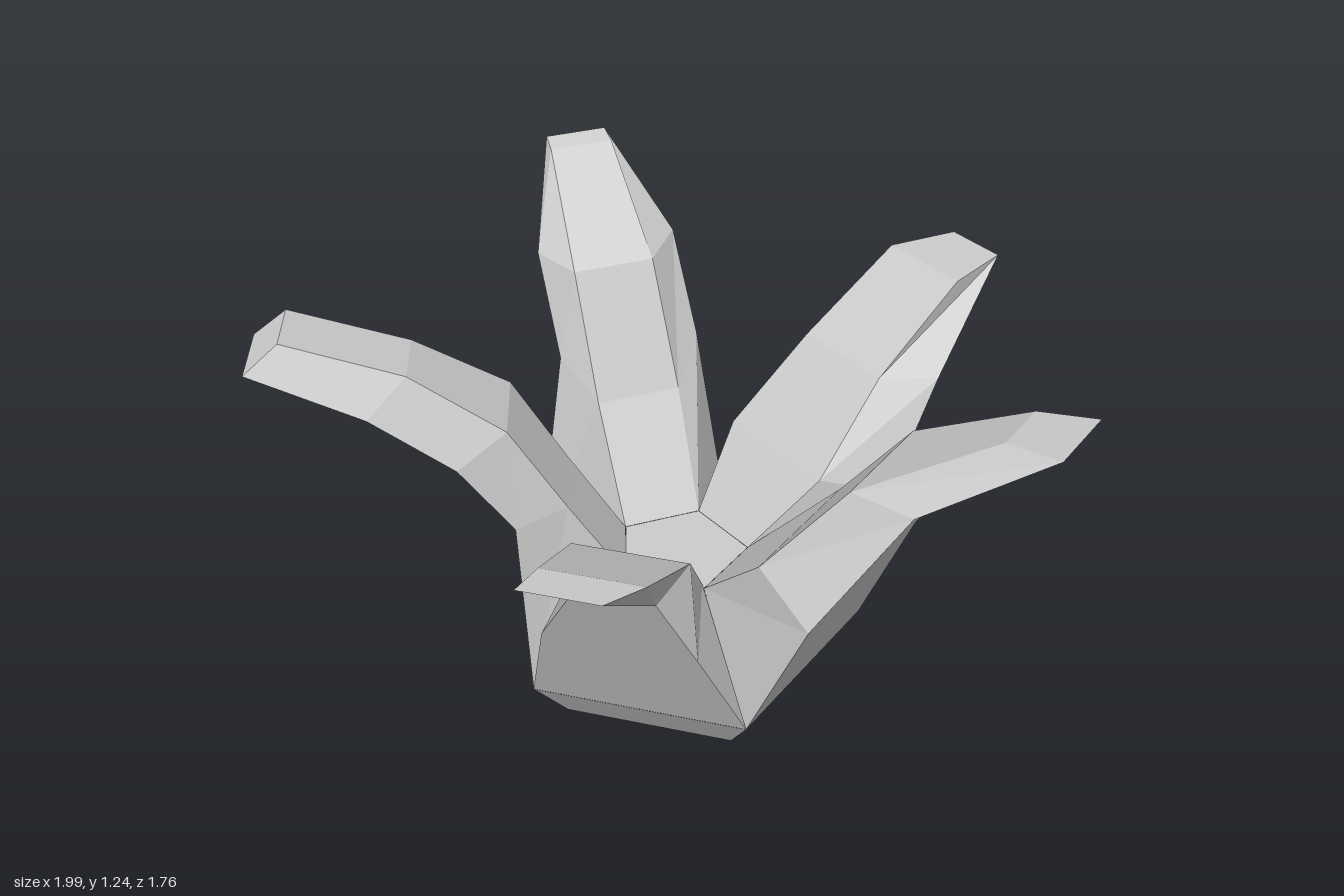
import * as THREE from 'three';

const grey = new THREE.MeshStandardMaterial({ color: 0xcccccc });
grey.name = 'plain grey';

const CENTRE_X = -0.05, CENTRE_Z = -0.06;
const STEP = (Math.PI * 2) / 5;

// Point at distance r along heading a, shifted sideways by v, at height y
function place(a, r, v, y) {
  return [
    CENTRE_X + Math.sin(a) * r + Math.cos(a) * v, y,
    CENTRE_Z + Math.cos(a) * r - Math.sin(a) * v,
  ];
}

// Pentagon ring with its edges facing the leaves
function pentagon(radius, y) {
  return [0, 1, 2, 3, 4].map((i) => place((i - 0.5) * STEP, radius, 0, y));
}

// Faceted mesh from convex polygons
function facetMesh(name, polygons) {
  const positions = [];
  for (const p of polygons)
    for (let i = 1; i < p.length - 1; i++) positions.push(...p[0], ...p[i], ...p[i + 1]);
  const geometry = new THREE.BufferGeometry();
  geometry.setAttribute('position', new THREE.Float32BufferAttribute(positions, 3));
  geometry.computeVertexNormals();
  const mesh = new THREE.Mesh(geometry, grey);
  mesh.name = name;
  return mesh;
}

// Walls joining successive rings of equal length
function walls(rings) {
  const faces = [];
  for (let s = 0; s < rings.length - 1; s++) {
    const a = rings[s], b = rings[s + 1], n = a.length;
    for (let k = 0; k < n; k++) {
      const m = (k + 1) % n;
      faces.push([a[k], a[m], b[m]], [a[k], b[m], b[k]]);
    }
  }
  return faces;
}

// Each section: outer edge (reach, height, shift, half width), then inner edge
const ROOT = [0.396, 0.13, 0, 0.288, 0.146, 0.36, 0, 0.106];
const LEAVES = [
  { name: 'frontLeaf', sections: [
    [0.54, 0.455, 0, 0.2, 0.36, 0.55, 0, 0.16],
    [0.65, 0.7, 0.03, 0.1, 0.525, 0.74, 0.03, 0.147],
    [0.94, 0.92, 0, 0.1, 0.84, 0.91, 0.045, 0.125]] },
  { name: 'leftLeaf', sections: [
    [0.55, 0.5, 0.01, 0.27, 0.35, 0.56, 0.03, 0.2],
    [0.73, 0.82, 0.05, 0.15, 0.55, 0.82, 0.07, 0.158],
    [1.03, 1.03, 0.125, 0.105, 0.87, 1.0, 0.14, 0.08]] },
  { name: 'backLeftLeaf', sections: [
    [0.48, 0.5, -0.02, 0.27, 0.31, 0.56, -0.02, 0.18],
    [0.665, 0.77, -0.05, 0.21, 0.53, 0.78, -0.03, 0.145],
    [0.99, 0.975, -0.05, 0.085, 0.815, 0.965, -0.03, 0.128]] },
  { name: 'backRightLeaf', sections: [
    [0.45, 0.74, -0.015, 0.197, 0.33, 0.65, 0, 0.115],
    [0.585, 0.995, 0, 0.193, 0.475, 0.98, 0.015, 0.11],
    [0.77, 1.24, 0.02, 0.082, 0.72, 1.225, 0.02, 0.085]] },
  { name: 'rightLeaf', sections: [
    [0.42, 0.61, 0.03, 0.2, 0.29, 0.61, 0.03, 0.11],
    [0.55, 0.815, 0.09, 0.175, 0.43, 0.86, 0.05, 0.115],
    [0.75, 0.98, 0.155, 0.13, 0.66, 1.04, 0.1, 0.085],
    [1.02, 1.125, 0.21, 0.095, 0.945, 1.165, 0.15, 0.08]] },
];

function buildLeaf({ name, sections }, index) {
  const a = index * STEP;
  const rings = [ROOT, ...sections].map(([or, oy, ov, ow, ir, iy, iv, iw]) => [
    place(a, or, ov - ow, oy), place(a, or, ov + ow, oy),
    place(a, ir, iv + iw, iy), place(a, ir, iv - iw, iy),
  ]);
  return facetMesh(name, [...walls(rings), rings[rings.length - 1]]);
}

export function createModel() {
  const group = new THREE.Group();
  group.name = 'plant';

  // Bevelled foot with a flat underside
  const bottom = pentagon(0.385, 0);
  const rim = pentagon(0.49, 0.13);
  group.add(facetMesh('foot', [...walls([bottom, rim]), [...bottom].reverse()]));

  // Floor between the leaves
  group.add(facetMesh('heart', [pentagon(0.18, 0.36)]));

  // Five thick curling leaves
  LEAVES.forEach((leaf, i) => group.add(buildLeaf(leaf, i)));
  return group;
}
